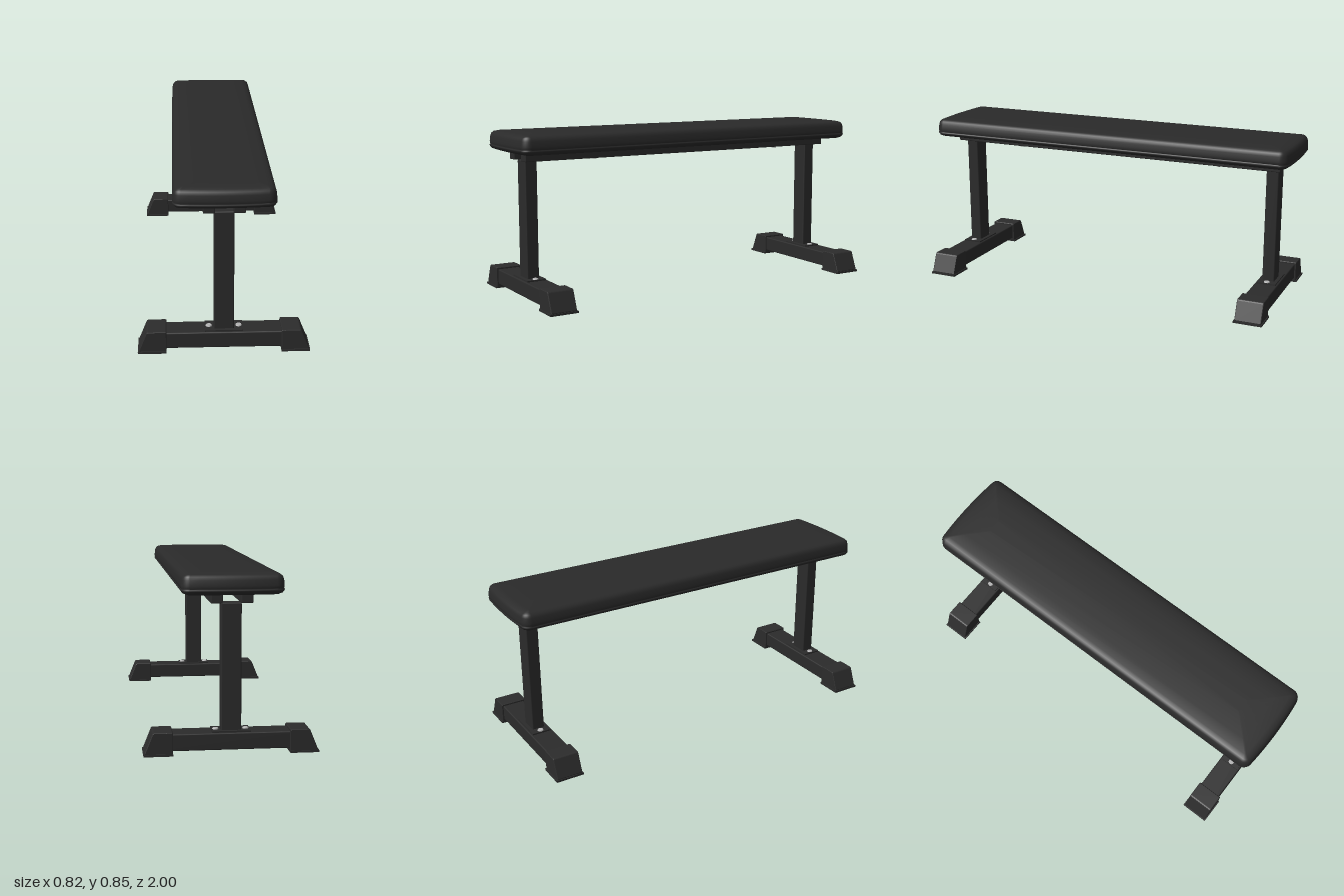
import * as THREE from 'three';
import { RoundedBoxGeometry } from 'three/addons/geometries/RoundedBoxGeometry.js';

const mat = (name, color) => new THREE.MeshStandardMaterial({ name, color });

// Rounded rectangle in plan with gently bowed short ends
function padOutline(inset) {
  const w = 0.236 - inset, l = 1 - inset, r = Math.max(0.04 - inset, 0.006);
  const pts = [];
  const corner = (cx, cz, start) => {
    for (let i = 0; i <= 8; i++) {
      const a = start + (i / 8) * Math.PI / 2;
      pts.push([cx + r * Math.cos(a), cz + r * Math.sin(a)]);
    }
  };
  const end = (s) => {
    for (let i = 1; i < 10; i++) pts.push([s * (w - r) * (1 - i / 5), s * l]);
  };
  corner(w - r, l - r, 0);
  end(1);
  corner(r - w, l - r, Math.PI / 2);
  corner(r - w, r - l, Math.PI);
  end(-1);
  corner(w - r, r - l, Math.PI * 1.5);
  return pts.map(([x, z]) => [x, z - Math.sign(z) * 0.014 * (x / 0.236) ** 2]);
}

// Cushion lofted from stacked outlines: [inset, height]
function padGeometry() {
  const layers = [
    [0.2, 0.737], [0.06, 0.738], [0.03, 0.742], [0.009, 0.75], [0.001, 0.76],
    [0, 0.766], [0.005, 0.769], [0.001, 0.772], [0.001, 0.785], [0.004, 0.81],
    [0.01, 0.825], [0.022, 0.834], [0.045, 0.839], [0.1, 0.843], [0.2, 0.845],
  ];
  const pos = [], idx = [];
  let n = 0;
  for (const [inset, y] of layers) {
    const ring = padOutline(inset);
    n = ring.length;
    for (const [x, z] of ring) pos.push(x, y, z);
  }
  const last = (layers.length - 1) * n, bottom = layers.length * n, top = bottom + 1;
  pos.push(0, 0.737, 0, 0, 0.845, 0);
  for (let j = 0; j < n; j++) {
    const k = (j + 1) % n;
    for (let i = 0; i < layers.length - 1; i++) {
      const a = i * n + j, b = i * n + k;
      idx.push(a, a + n, b, b, a + n, b + n);
    }
    idx.push(bottom, j, k, top, last + k, last + j);
  }
  const g = new THREE.BufferGeometry();
  g.setAttribute('position', new THREE.Float32BufferAttribute(pos, 3));
  g.setIndex(idx);
  g.computeVertexNormals();
  return g;
}

// Sloped end cap, extruded across the base tube
function footGeometry() {
  const s = new THREE.Shape();
  s.moveTo(0.272, 0.004);
  s.lineTo(0.403, 0.004);
  s.lineTo(0.403, 0.014);
  s.lineTo(0.367, 0.103);
  s.quadraticCurveTo(0.364, 0.11, 0.356, 0.11);
  s.lineTo(0.276, 0.11);
  s.lineTo(0.272, 0.107);
  s.closePath();
  const g = new THREE.ExtrudeGeometry(s, {
    depth: 0.128, bevelThickness: 0.004, bevelSize: 0.003, bevelOffset: -0.003, bevelSegments: 2, curveSegments: 5,
  });
  return g.translate(0, 0, -0.064);
}

export function createModel() {
  const model = new THREE.Group();
  model.name = 'flatBench';
  const vinyl = mat('blackVinyl', 0x2a2a2a);
  const steel = mat('blackSteel', 0x2b2b2b);
  const rubber = mat('blackRubber', 0x2c2c2c);
  const zinc = mat('zincBolt', 0xb4b4b4);

  const add = (parent, name, geo, material, x = 0, y = 0, z = 0) => {
    const m = new THREE.Mesh(geo, material);
    m.name = name;
    m.position.set(x, y, z);
    parent.add(m);
    return m;
  };

  add(model, 'pad', padGeometry(), vinyl);

  // Twin rails under the pad, with bolts from below
  const boltGeo = new THREE.CylinderGeometry(0.016, 0.013, 0.006, 16);
  for (const x of [-0.07, 0.07]) {
    add(model, 'rail', new RoundedBoxGeometry(0.055, 0.042, 1.85, 2, 0.004), steel, x, 0.72, 0);
    for (const z of [0.54, -0.6]) add(model, 'railBolt', boltGeo, zinc, x, 0.697, z);
  }

  // Front and back leg assemblies
  const foot = footGeometry();
  for (const side of [1, -1]) {
    const leg = new THREE.Group();
    leg.name = side > 0 ? 'frontLeg' : 'backLeg';
    leg.position.z = side * 0.874;
    model.add(leg);
    add(leg, 'post', new RoundedBoxGeometry(0.095, 0.6, 0.064, 2, 0.006), steel, 0, 0.4, 0);
    add(leg, 'baseTube', new RoundedBoxGeometry(0.66, 0.08, 0.118, 2, 0.006), steel, 0, 0.06, 0);
    add(leg, 'basePlate', new THREE.BoxGeometry(0.18, 0.007, 0.1), steel, 0, 0.1035, 0);
    for (const x of [-1, 1]) {
      const end = new THREE.Group();
      end.name = x > 0 ? 'leftFoot' : 'rightFoot';
      end.rotation.y = x > 0 ? 0 : Math.PI;
      leg.add(end);
      add(end, 'footCap', foot, rubber);
      add(end, 'footSole', new THREE.BoxGeometry(0.136, 0.01, 0.146), rubber, 0.34, 0.005, 0);
      const bolt = add(leg, 'plateBolt', boltGeo, zinc, x * 0.071, 0.109, 0);
      bolt.rotation.x = Math.PI;
    }
  }
  return model;
}
